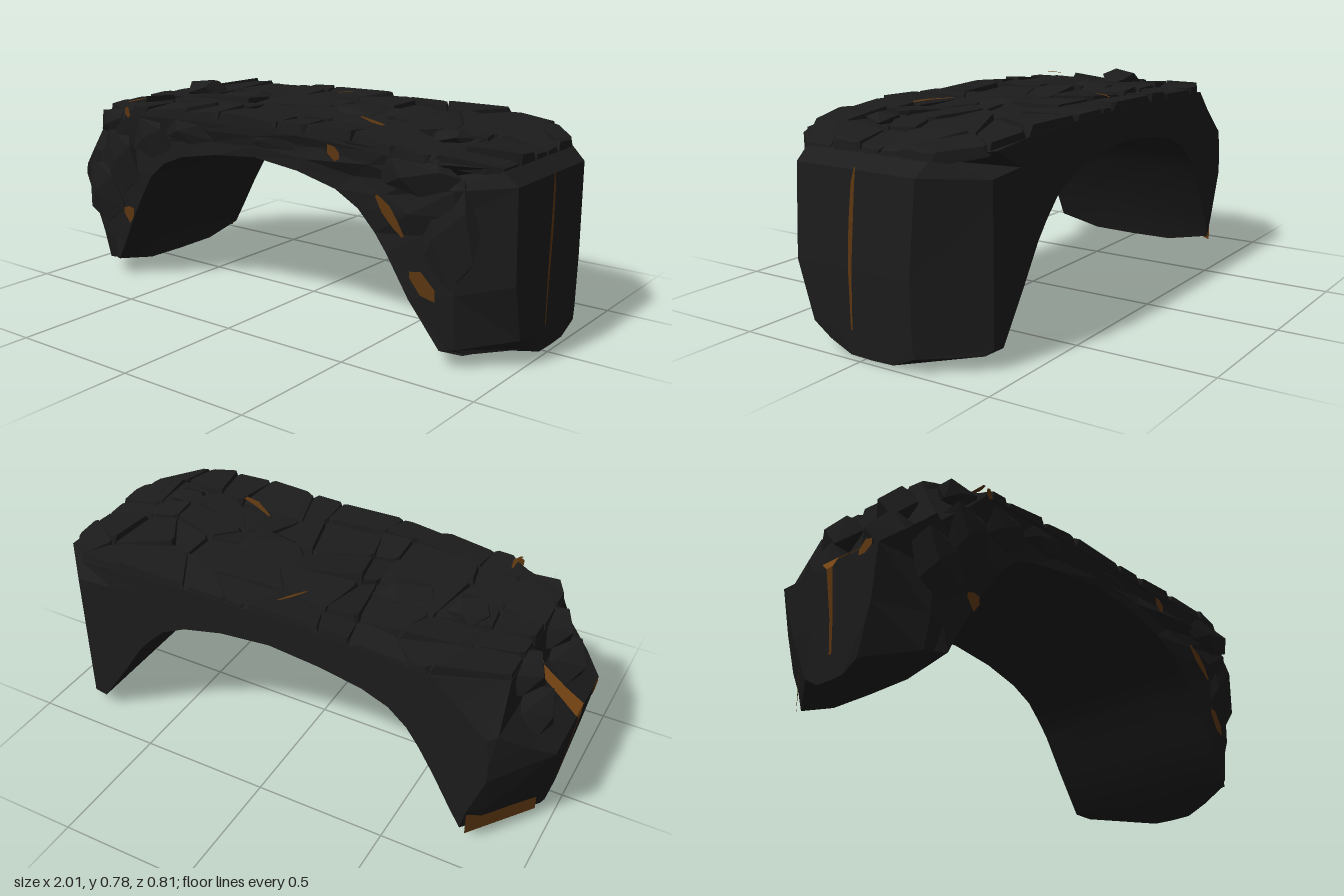
import * as THREE from 'three';
import { ConvexGeometry } from 'three/addons/geometries/ConvexGeometry.js';

const rock = new THREE.MeshStandardMaterial({ color: 0x1c1c1c });
rock.name = 'dark rock';
const ore = new THREE.MeshStandardMaterial({ color: 0x5c3610, side: THREE.DoubleSide });
ore.name = 'brown ore';
const brightOre = new THREE.MeshStandardMaterial({ color: 0x824c16, side: THREE.DoubleSide });
brightOre.name = 'bright orange ore';

let seed = 7;
const rnd = () => (seed = (seed * 16807) % 2147483647) / 2147483647;
const spread = (a) => (rnd() - 0.5) * 2 * a;
const { lerp, clamp } = THREE.MathUtils;

// Arch cross-sections, left foot to right foot: inner x, inner y, outer x, outer y
const sections = [
  [-0.75, 0.03, -0.95, 0.0], [-0.71, 0.15, -0.975, 0.2], [-0.64, 0.28, -1, 0.38],
  [-0.58, 0.38, -0.93, 0.44], [-0.53, 0.45, -0.845, 0.52], [-0.46, 0.51, -0.83, 0.67],
  [-0.36, 0.55, -0.62, 0.7], [-0.2, 0.58, -0.3, 0.715], [0, 0.6, 0, 0.72],
  [0.2, 0.58, 0.3, 0.72], [0.36, 0.54, 0.6, 0.71], [0.46, 0.49, 0.8, 0.69],
  [0.53, 0.42, 0.93, 0.67], [0.58, 0.36, 0.99, 0.62], [0.67, 0.22, 1, 0.3],
  [0.78, 0.06, 0.995, 0.1], [0.85, 0.01, 0.99, 0.01],
];
const last = sections.length - 1;

// Piecewise linear lookup in [x, value] pairs
function lookup(table, x) {
  for (let i = 1; i < table.length; i++) {
    const [a, b] = [table[i - 1], table[i]];
    if (x <= b[0]) return lerp(a[1], b[1], clamp((x - a[0]) / (b[0] - a[0]), 0, 1));
  }
  return table[table.length - 1][1];
}

// Corner bulge by height: each corner is cut by a plane 0.8|x| + 0.6|z| = bulge
const bulges = {
  leftFront: [[0, 0.84], [0.1, 0.87], [0.25, 0.93], [0.38, 0.96], [0.5, 0.91], [0.62, 0.84], [0.72, 0.8]],
  leftBack: [[0, 0.83], [0.1, 0.85], [0.35, 0.93], [0.5, 0.91], [0.62, 0.86], [0.72, 0.78]],
  rightFront: [[0, 0.87], [0.2, 0.96], [0.6, 0.96], [0.7, 0.87]],
  rightBack: [[0, 0.92], [0.62, 0.93], [0.7, 0.87]],
};
const cornerZ = (x, y, side) =>
  Math.max(0.03, (lookup(bulges[(x < 0 ? 'left' : 'right') + side], y) - 0.8 * Math.abs(x)) / 0.6);
const backPlan = [[-1, -0.21], [-0.83, -0.4], [0.83, -0.4], [1, -0.22]];
const frontPlan = [[-1, 0.27], [-0.9, 0.35], [0, 0.35], [0.4, 0.355], [0.65, 0.39], [0.83, 0.37], [1, 0.27]];
const backZ = (x, y) => Math.max(lookup(backPlan, x), -cornerZ(x, y, 'Back'));
const frontZ = (x, y) => Math.min(lookup(frontPlan, x) + 0.06 * (y - 0.5), cornerZ(x, y, 'Front'));
const topY = (x) => lookup(sections.slice(5, 14).map((s) => [s[2], s[3]]), x);

// Steps from inner to outer edge, with one on the corner chamfer line
const zs = [0, 0.25, 0.5, 0.75, 1];
const steps = sections.map(([ix, , ox]) => {
  const f = Math.abs(ox) > 0.83 ? clamp((0.83 - Math.abs(ix)) / (Math.abs(ox) - Math.abs(ix)), 0.05, 0.9) : 0.65;
  return [0, f / 2, f, 1];
});
// Front face chipped inward between its edges
const chip = steps.map((s) => s.map((u) => rnd() * (u > 0 && u < 1 ? 0.022 : 0.01)));

function point(i, iu, zt) {
  const [ix, iy, ox, oy] = sections[i];
  const x = lerp(ix, ox, steps[i][iu]), y = lerp(iy, oy, steps[i][iu]);
  const lift = i === 0 || i === last ? 0.04 * (2 * zt - 1) ** 4 : 0;
  return [x, y + lift, lerp(backZ(x, y), frontZ(x, y) - chip[i][iu], zt)];
}

// Surface from a grid of points, smooth or faceted
function surface(name, rows, cols, fn, flip, smooth = false) {
  const pos = [], idx = [];
  for (let i = 0; i < rows; i++) for (let j = 0; j < cols; j++) pos.push(...fn(i, j));
  for (let i = 0; i < rows - 1; i++) for (let j = 0; j < cols - 1; j++) {
    const a = i * cols + j, b = a + cols, c = b + 1, d = a + 1;
    idx.push(...(flip ? [a, c, b, a, d, c] : [a, b, c, a, c, d]));
  }
  let g = new THREE.BufferGeometry();
  g.setAttribute('position', new THREE.Float32BufferAttribute(pos, 3));
  g.setIndex(idx);
  if (!smooth) g = g.toNonIndexed();
  g.computeVertexNormals();
  const mesh = new THREE.Mesh(g, rock);
  mesh.name = name;
  return mesh;
}

// Thin strip along [x, y, z, width] points, widened along an axis
function ribbon(name, pts, axis, material = ore) {
  const dir = new THREE.Vector3(...axis).normalize();
  const mesh = surface(name, pts.length, 2, (i, j) => {
    const [x, y, z, w] = pts[i];
    return new THREE.Vector3(x, y, z).addScaledVector(dir, (j - 0.5) * w).toArray();
  }, false);
  mesh.material = material;
  return mesh;
}
// Strip of [x, y, width] points lying on the front face
const frontRibbon = (name, pts, axis) =>
  ribbon(name, pts.map(([x, y, w]) => [x, y, frontZ(x, y) + 0.004, w]), axis);

function hull(name, pts) {
  const mesh = new THREE.Mesh(new ConvexGeometry(pts), rock);
  mesh.name = name;
  return mesh;
}

// Irregular boulder around a centre
function boulder([x, y, z, sx, sy, sz]) {
  const pts = [];
  for (let k = 0; k < 12; k++) {
    const a = k * 2.4, h = 1 - (2 * k + 1) / 12, r = Math.sqrt(1 - h * h) * (0.85 + rnd() * 0.3);
    pts.push(new THREE.Vector3(x + Math.cos(a) * r * sx, y + h * sy, z + Math.sin(a) * r * sz));
  }
  return hull('stone', pts);
}

export function createModel() {
  const model = new THREE.Group();
  model.name = 'rockArch';

  // Arch body
  const n = sections.length;
  model.add(
    surface('frontFace', n, 4, (i, j) => point(i, j, 1), false),
    surface('backFace', n, 4, (i, j) => point(i, j, 0), true),
    surface('outerFace', n, 5, (i, j) => point(i, 3, zs[j]), true),
    surface('archUnderside', n, 5, (i, j) => point(i, 0, zs[j]), false, true),
    surface('leftFootBase', 4, 5, (i, j) => point(0, i, zs[j]), true),
    surface('rightFootBase', 4, 5, (i, j) => point(last, i, zs[j]), false),
  );

  // Tightly packed, tilted slabs over the top
  const paving = new THREE.Group();
  paving.name = 'topSlabs';
  const nx = 10, nz = 5;
  const grid = [];
  for (let i = 0; i <= nx; i++) {
    grid.push([]);
    for (let j = 0; j <= nz; j++) {
      const edgeX = i === 0 || i === nx, edgeZ = j === 0 || j === nz;
      const x = lerp(-0.83, 0.94, i / nx) + (edgeX ? 0 : spread(0.07));
      const t = j / nz + (edgeZ ? 0 : spread(0.08));
      grid[i].push([x, lerp(backZ(x, topY(x)), frontZ(x, topY(x)), t)]);
    }
  }
  for (let i = 0; i < nx; i++) for (let j = 0; j < nz; j++) {
    const c = [grid[i][j], grid[i + 1][j], grid[i + 1][j + 1], grid[i][j + 1]];
    const cx = c.reduce((s, p) => s + p[0], 0) / 4, cz = c.reduce((s, p) => s + p[1], 0) / 4;
    const h = 0.014 + rnd() * 0.016, tx = spread(0.11), tz = spread(0.11);
    const pts = [];
    c.forEach((p, k) => {
      const q = c[(k + 1) % 4];
      pts.push(new THREE.Vector3(p[0], topY(p[0]) - 0.015, p[1]));
      for (const f of [0.05 + rnd() * 0.12, 0.83 + rnd() * 0.12]) {
        const x = lerp(cx, lerp(p[0], q[0], f), 0.96), z = lerp(cz, lerp(p[1], q[1], f), 0.96);
        pts.push(new THREE.Vector3(x, topY(x) + h + (x - cx) * tx + (z - cz) * tz, z));
      }
    });
    paving.add(hull('slab', pts));
  }
  model.add(paving);

  // Stones on the top, left shoulder and front
  const stones = [
    [-0.59, 0.735, -0.05, 0.08, 0.045, 0.09], [-0.36, 0.72, -0.05, 0.12, 0.035, 0.1],
    [0.2, 0.73, -0.05, 0.17, 0.03, 0.13], [0.68, 0.72, 0.14, 0.08, 0.035, 0.06],
    [-0.82, 0.61, 0.15, 0.1, 0.09, 0.11], [-0.82, 0.61, -0.13, 0.1, 0.09, 0.12],
    [-0.88, 0.46, 0.17, 0.09, 0.12, 0.12], [-0.88, 0.45, -0.13, 0.09, 0.12, 0.12],
    [-0.81, 0.36, 0.32, 0.12, 0.15, 0.045], [-0.69, 0.5, 0.33, 0.11, 0.15, 0.04],
    [-0.52, 0.61, 0.335, 0.11, 0.09, 0.035], [-0.73, 0.64, 0.32, 0.1, 0.06, 0.05],
    [-0.32, 0.66, 0.34, 0.13, 0.06, 0.025], [0.06, 0.67, 0.34, 0.16, 0.05, 0.022],
    [0.7, 0.64, 0.37, 0.16, 0.07, 0.045], [0.8, 0.46, 0.34, 0.13, 0.2, 0.035],
  ];
  stones.forEach((s) => model.add(boulder(s)));

  // Ore seams on the ends
  model.add(
    ribbon('rightEndSeam', [[1.001, 0.1, 0.03, 0.006], [1.003, 0.3, 0.028, 0.014], [1.002, 0.45, 0.018, 0.018], [0.998, 0.58, 0.008, 0.014], [0.992, 0.63, 0.002, 0.004]], [0, 0, 1]),
    ribbon('leftEndSeam', [[-0.966, 0.08, 0.02, 0.012], [-0.982, 0.2, 0.03, 0.016], [-1.004, 0.37, 0.03, 0.03]], [0, 0, 1]),
    ribbon('leftEndHollow', [[-1.004, 0.37, 0.03, 0.03], [-1.002, 0.395, 0.03, 0.08], [-0.935, 0.452, 0.025, 0.06], [-0.85, 0.527, 0.02, 0.05], [-0.84, 0.59, 0.02, 0.015]], [0, 0, 1], brightOre),
    ribbon('leftEndChip', [[-1.004, 0.37, 0.17, 0.02], [-1.004, 0.385, 0.2, 0.05], [-1.004, 0.39, 0.23, 0.02]], [0, 1, 0]),
    ribbon('leftFootPatch', [[-0.77, 0.09], [-0.8, 0.08], [-0.83, 0.08], [-0.88, 0.09], [-0.915, 0.12], [-0.945, 0.1]]
      .map(([x, w]) => [x, 0.05 + w / 2, backZ(x, 0.09) - 0.006, w]), [0, 1, 0]),
  );

  // Ore seams on the front and top
  model.add(
    frontRibbon('frontSeam', [[0.55, 0.555, 0.012], [0.59, 0.515, 0.04], [0.63, 0.47, 0.03], [0.66, 0.435, 0.01]], [1, 1, 0]),
    frontRibbon('rightLegPatch', [[0.68, 0.31, 0.02], [0.72, 0.285, 0.08], [0.77, 0.25, 0.04]], [0, 1, 0]),
    frontRibbon('leftLegPatch', [[-0.69, 0.29, 0.02], [-0.66, 0.275, 0.07], [-0.635, 0.29, 0.03]], [0, 1, 0]),
    frontRibbon('crownPatch', [[0.34, 0.68, 0.03], [0.37, 0.665, 0.05], [0.39, 0.66, 0.02]], [0, 1, 0]),
    frontRibbon('shoulderPatch', [[-0.635, 0.7, 0.02], [-0.62, 0.695, 0.045], [-0.61, 0.69, 0.015]], [0, 1, 0]),
    ribbon('topSeam', [[0.31, 0.75, 0.13, 0.01], [0.4, 0.75, 0.185, 0.03], [0.5, 0.745, 0.22, 0.014]], [0, 0, -1]),
    ribbon('topBackSeam', [[-0.06, 0.75, -0.24, 0.008], [-0.03, 0.752, -0.29, 0.016], [0, 0.75, -0.33, 0.006]], [1, 0, 0]),
    ribbon('topLeftSeam', [[-0.63, 0.733, 0.35, 0.01], [-0.62, 0.737, 0.31, 0.018], [-0.625, 0.735, 0.26, 0.006]], [1, 0, 0]),
  );
  return model;
}
